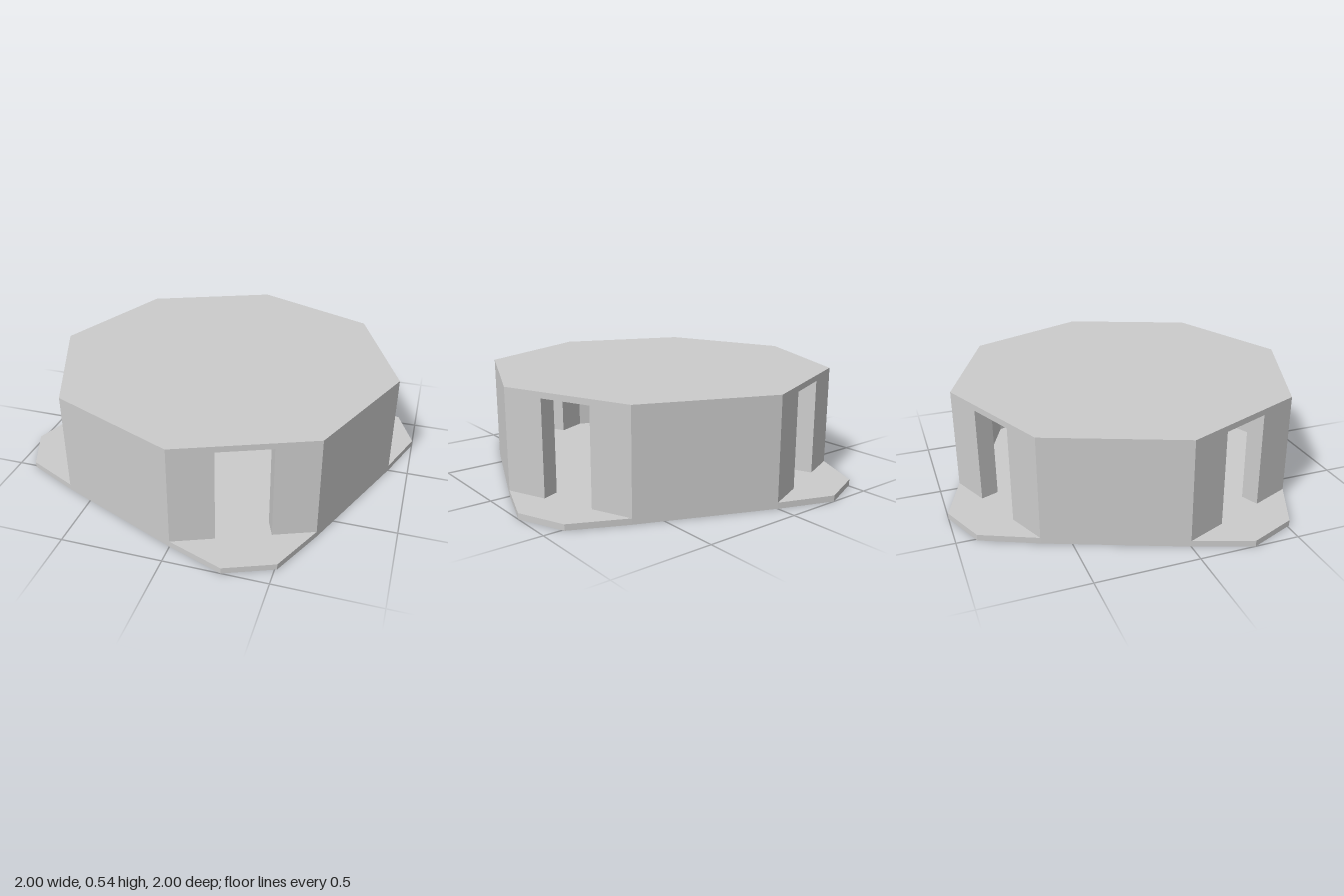
import * as THREE from 'three';

const R_OUT = 0.9, R_IN = 0.8;       // octagon corner radii, outside and inside
const SLAB = 0.03, HEIGHT = 0.54;    // slab thickness, total height
const DOOR = 0.265;                  // doorway width
const APOTHEM = Math.cos(Math.PI / 8);

// Plan point at a radius and an angle in degrees from the front, turning towards +x
function polar(r, deg) {
  const a = THREE.MathUtils.degToRad(deg);
  return new THREE.Vector2(r * Math.sin(a), r * Math.cos(a));
}

// Point on a flat side facing deg, shifted sideways by offset
function onSide(r, deg, offset) {
  return polar(r * APOTHEM, deg).add(polar(offset, deg + 90));
}

// Vertical prism over a plan outline of (x, z) points
function prism(name, plan, bottom, top, material) {
  const shape = new THREE.Shape(plan.map(p => new THREE.Vector2(p.x, -p.y)));
  const geometry = new THREE.ExtrudeGeometry(shape, { depth: top - bottom, bevelEnabled: false });
  geometry.rotateX(-Math.PI / 2);
  geometry.translate(0, bottom, 0);
  const mesh = new THREE.Mesh(geometry, material);
  mesh.name = name;
  return mesh;
}

export function createModel() {
  const group = new THREE.Group();
  group.name = 'octagonalPavilion';
  const material = new THREE.MeshStandardMaterial({ color: 0xcccccc, flatShading: true });
  const quarters = [0, 90, 180, 270];

  // Floor: octagon with a doorstep in front of every other side
  const floor = quarters.flatMap(a => [
    polar(R_OUT, a), polar(1.0377, a + 15.5), polar(1.0377, a + 29.5), polar(R_OUT, a + 45),
  ]);
  group.add(prism('floor', floor, 0, SLAB, material));

  // Walls: each section wraps two corners, from one doorway to the next
  const walls = new THREE.Group();
  walls.name = 'walls';
  for (const a of quarters) {
    const line = r => [
      onSide(r, a + 22.5, DOOR / 2), polar(r, a + 45),
      polar(r, a + 90), onSide(r, a + 112.5, -DOOR / 2),
    ];
    walls.add(prism('wallSection', [...line(R_OUT), ...line(R_IN).reverse()], SLAB, HEIGHT - SLAB, material));
  }
  group.add(walls);

  // Flat roof, also the top of the doorways
  const roof = Array.from({ length: 8 }, (_, i) => polar(R_OUT, i * 45));
  group.add(prism('roof', roof, HEIGHT - SLAB, HEIGHT, material));

  return group;
}
